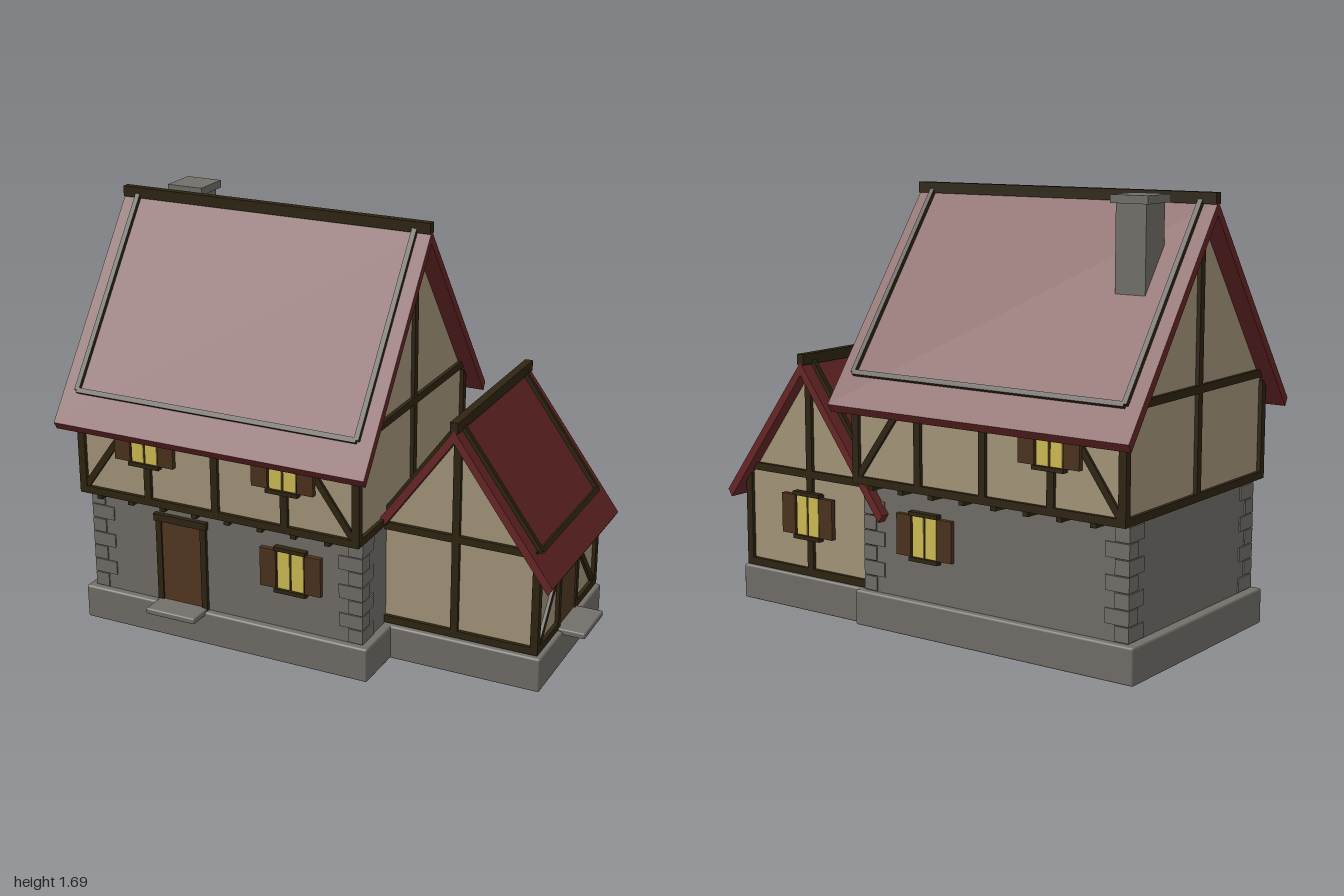
import * as THREE from 'three';
import { RoundedBoxGeometry } from 'three/addons/geometries/RoundedBoxGeometry.js';

const mat = (name, color) => Object.assign(new THREE.MeshStandardMaterial({ color }), { name });

export function createModel() {
  const M = {
    stone: mat('stone', 0x73706a),
    plaster: mat('plaster', 0xa8987c),
    timber: mat('timber', 0x2f2512),
    roof: mat('roof tiles', 0x6a2727),
    door: mat('door wood', 0x553a22),
    shutter: mat('shutter wood', 0x4d331e),
    glass: mat('lit glass', 0xd2bf55),
  };
  const root = new THREE.Group();
  root.name = 'house';

  const group = (parent, name, x = 0, y = 0, z = 0, turn = 0) => {
    const g = new THREE.Group();
    g.name = name;
    g.position.set(x, y, z);
    g.rotation.y = turn;
    parent.add(g);
    return g;
  };
  const add = (parent, name, geo, material) => {
    const m = new THREE.Mesh(geo, material);
    m.name = name;
    parent.add(m);
    return m;
  };
  // Box given by its limits
  const box = (parent, name, material, x0, x1, y0, y1, z0, z1, bevel = 0) => {
    const s = [x1 - x0, y1 - y0, z1 - z0];
    const geo = bevel ? new RoundedBoxGeometry(...s, 1, bevel) : new THREE.BoxGeometry(...s);
    const m = add(parent, name, geo, material);
    m.position.set((x0 + x1) / 2, (y0 + y1) / 2, (z0 + z1) / 2);
    return m;
  };
  // Timber between two points of a wall plane
  const beam = (parent, name, x0, y0, x1, y1, w = 0.03, depth = 0.03, z = 0) => {
    const len = Math.hypot(x1 - x0, y1 - y0);
    const m = add(parent, name, new THREE.BoxGeometry(len, w, depth), M.timber);
    m.position.set((x0 + x1) / 2, (y0 + y1) / 2, z);
    m.rotation.z = Math.atan2(y1 - y0, x1 - x0);
    return m;
  };
  // Outline extruded evenly about z = 0
  const prism = (parent, name, pts, length, material) => {
    const shape = new THREE.Shape(pts.map(([x, y]) => new THREE.Vector2(x, y)));
    const geo = new THREE.ExtrudeGeometry(shape, { depth: length, bevelEnabled: false });
    return add(parent, name, geo.translate(0, 0, -length / 2), material);
  };

  // Window with two panes and open shutters, centred on a wall plane
  const windowAt = (wall, x, y, z = 0) => {
    const g = group(wall, 'window', x, y, z);
    box(g, 'windowFrame', M.timber, -0.065, 0.065, -0.09, 0.09, -0.01, 0.01);
    for (const s of [-1, 1]) {
      box(g, 'pane', M.glass, s * 0.03 - 0.025, s * 0.03 + 0.025, -0.08, 0.08, 0.008, 0.014);
      box(g, 'windowRail', M.timber, -0.068, 0.068, s * 0.088 - 0.008, s * 0.088 + 0.008, 0, 0.026);
      box(g, 'shutter', M.shutter, s * 0.096 - 0.034, s * 0.096 + 0.034, -0.08, 0.08, 0, 0.02);
    }
  };
  // Door with posts, lintel and a stone step
  const doorAt = (wall, x, stepOut) => {
    const g = group(wall, 'doorway', x);
    box(g, 'door', M.door, -0.09, 0.09, 0.14, 0.49, -0.01, 0.008);
    for (const s of [-1, 1]) beam(g, 'doorPost', s * 0.1, 0.14, s * 0.1, 0.5, 0.025);
    beam(g, 'doorLintel', -0.118, 0.505, 0.118, 0.505, 0.03, 0.04);
    box(g, 'doorStep', M.stone, -0.11, 0.11, 0.125, 0.15, -0.02, stepOut, 0.006);
  };

  // Gabled roof with ridge along z, plus battens on both slopes
  const gableRoof = (parent, { ridge, reach, eave, length, battenX, battenZ }) => {
    const g = group(parent, 'roof');
    prism(g, 'roofTiles', [[0, ridge], [-reach, eave], [-reach + 0.018, eave - 0.03], [0, ridge - 0.05],
      [reach - 0.018, eave - 0.03], [reach, eave]], length, M.roof);
    box(g, 'ridgeBeam', M.timber, -0.016, 0.016, ridge - 0.01, ridge + 0.032, -length / 2, length / 2);
    const slope = (ridge - eave) / reach;
    for (const s of [-1, 1]) {
      const low = ridge - slope * battenX + 0.008;
      for (const z of battenZ) beam(g, 'roofBatten', 0, ridge + 0.008, s * battenX, low, 0.024, 0.02, z);
      const b = box(g, 'eaveBatten', M.timber, -0.01, 0.01, -0.012, 0.012, battenZ[0], battenZ[1]);
      b.position.set(s * battenX, low, b.position.z);
      b.rotation.z = -s * Math.atan(slope);
    }
  };
  // Plaster body with pointed ends and the timbers on both ends
  const gableBody = (parent, { half, base, side, top, length, tie }) => {
    prism(parent, 'plasterWalls', [[-half, base], [half, base], [half, side], [0, top], [-half, side]],
      length, M.plaster);
    for (const turn of [0, Math.PI]) {
      const end = group(parent, 'gableTimbers', 0, 0, Math.cos(turn) * length / 2, turn);
      beam(end, 'gablePost', 0, base, 0, top - 0.01);
      beam(end, 'tieBeam', -half, tie, half, tie);
      beam(end, 'sillBeam', -half - 0.015, base + 0.015, half + 0.015, base + 0.015);
      for (const s of [-1, 1]) beam(end, 'cornerPost', s * half, base, s * half, side, 0.03);
    }
  };

  // Stone base
  box(root, 'mainPlinth', M.stone, -0.965, 0.295, 0, 0.14, -0.475, 0.475, 0.008);
  box(root, 'annexPlinth', M.stone, 0.2, 0.91, 0, 0.14, -0.45, 0.26, 0.008);
  box(root, 'groundFloor', M.stone, -0.925, 0.26, 0.13, 0.58, -0.445, 0.445);
  for (const sx of [-1, 1]) for (const sz of [-1, 1]) for (let i = 0; i < 7; i++) {
    // Corner stones alternate their long side
    const a = i % 2 ? 0.1 : 0.06, b = i % 2 ? 0.06 : 0.1;
    const m = box(root, 'cornerStone', M.stone, -a / 2, a / 2, 0, 0.056, -b / 2, b / 2);
    m.position.set(-0.3325 + sx * (0.5985 - a / 2), 0.172 + i * 0.06, sz * (0.451 - b / 2));
  }

  // Main house, ridge running left to right
  const main = group(root, 'mainHouse', -0.335, 0, 0, Math.PI / 2);
  gableBody(main, { half: 0.49, base: 0.57, side: 0.955, top: 1.615, length: 1.19, tie: 0.985 });
  gableRoof(main, { ridge: 1.66, reach: 0.58, eave: 0.88, length: 1.33, battenX: 0.5, battenZ: [-0.6, 0.6] });

  // Timber framing of the long upper walls
  for (const turn of [0, Math.PI]) {
    const wall = group(root, 'upperFraming', -0.335, 0, Math.cos(turn) * 0.49, turn);
    beam(wall, 'sillBeam', -0.61, 0.585, 0.61, 0.585);
    beam(wall, 'topBeam', -0.61, 0.94, 0.61, 0.94);
    for (let i = -2; i <= 2; i++) beam(wall, 'wallPost', i * 0.298, 0.58, i * 0.298, 0.94);
    for (const s of [-1, 1]) beam(wall, 'brace', s * 0.585, 0.6, s * 0.335, 0.95, 0.026, 0.024);
    for (let i = 0; i < 8; i++) {
      const x = -0.525 + i * 0.143;
      box(wall, 'joistEnd', M.timber, x - 0.012, x + 0.012, 0.552, 0.575, -0.06, 0.01);
    }
  }
  const front = group(root, 'frontOpenings', 0, 0, 0.445);
  windowAt(front, -0.035, 0.392);
  doorAt(front, -0.52, 0.115);
  for (const x of [-0.635, -0.035]) windowAt(front, x, 0.83, 0.055);
  const back = group(root, 'backOpenings', 0, 0, -0.445, Math.PI);
  windowAt(back, 0.035, 0.392);
  windowAt(back, 0.635, 0.83, 0.055);

  // Annex, ridge running front to back
  const annex = group(root, 'annex', 0.552, 0, -0.1);
  gableBody(annex, { half: 0.325, base: 0.145, side: 0.525, top: 0.965, length: 0.66, tie: 0.557 });
  gableRoof(annex, { ridge: 1.008, reach: 0.403, eave: 0.455, length: 0.77, battenX: 0.328, battenZ: [-0.32, 0.32] });
  windowAt(group(annex, 'annexBack', 0, 0, -0.33, Math.PI), 0, 0.392, 0.012);
  const side = group(annex, 'annexSide', 0.325, 0, 0, Math.PI / 2);
  for (const s of [-1, 1]) {
    beam(side, 'brace', s * 0.305, 0.175, s * 0.115, 0.4, 0.026, 0.024);
    beam(side, 'sillBeam', s * 0.33, 0.16, s * 0.1, 0.16);
  }
  beam(side, 'topBeam', -0.33, 0.505, 0.33, 0.505);
  doorAt(side, 0, 0.123);

  // Chimney
  box(root, 'chimney', M.stone, -0.85, -0.725, 1.2, 1.665, -0.24, -0.115);
  box(root, 'chimneyCap', M.stone, -0.865, -0.71, 1.657, 1.687, -0.255, -0.1);

  return root;
}
